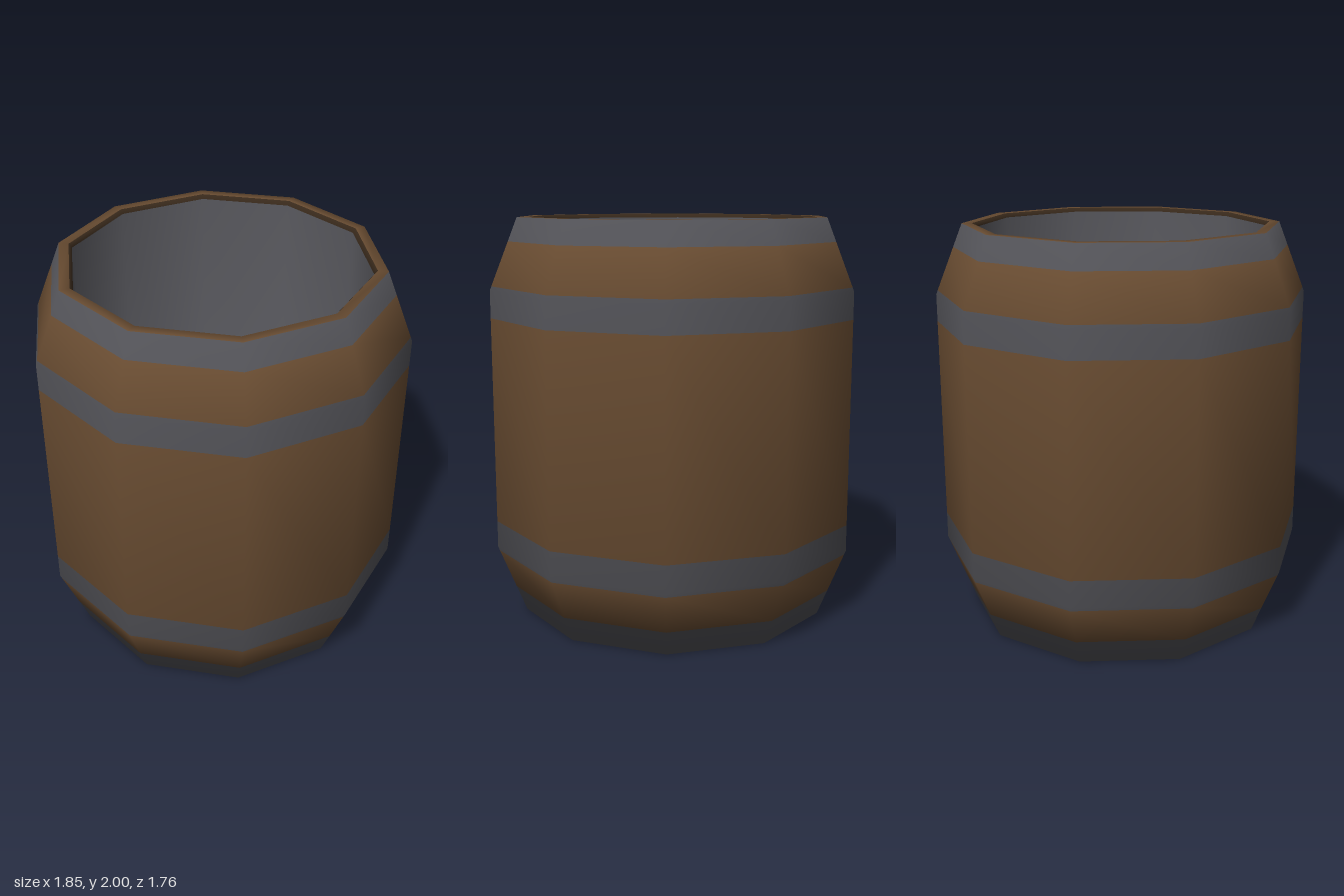
import * as THREE from 'three';

const SIDES = 10;

// Closed barrel profile [radius, height]: base, outer wall, rim, inner wall, floor
const PROFILE = [
  [0, 0], [0.785, 0], [0.925, 0.35], [0.925, 1.65], [0.785, 2],
  [0.735, 2], [0.72, 1.98], [0.72, 0.12], [0, 0.12],
].map(([r, y]) => new THREE.Vector2(r, y));

// Smooth normal at each profile point, averaged from its neighbouring segments
const segmentNormal = (i) => {
  const d = PROFILE[i + 1].clone().sub(PROFILE[i]).normalize();
  return new THREE.Vector2(d.y, -d.x);
};
const last = PROFILE.length - 1;
const NORMALS = PROFILE.map((_, i) => {
  if (i === 0) return segmentNormal(0);
  if (i === last) return segmentNormal(last - 1);
  return segmentNormal(i - 1).add(segmentNormal(i)).normalize();
});

// Point and normal at a fractional profile index
function sample(s) {
  const i = Math.min(Math.floor(s), last - 1);
  const t = s - i;
  return {
    point: PROFILE[i].clone().lerp(PROFILE[i + 1], t),
    normal: NORMALS[i].clone().lerp(NORMALS[i + 1], t).normalize(),
  };
}

// Fractional profile index at a height on the outer wall
function outer(y) {
  let i = 1;
  while (i < 3 && y > PROFILE[i + 1].y) i++;
  return i + (y - PROFILE[i].y) / (PROFILE[i + 1].y - PROFILE[i].y);
}

// Ten-sided ring covering the profile from index s0 to s1
function ring(name, material, s0, s1) {
  const stops = [s0];
  for (let i = Math.floor(s0) + 1; i < s1; i++) stops.push(i);
  stops.push(s1);
  const samples = stops.map(sample);
  const geometry = new THREE.LatheGeometry(samples.map((p) => p.point), SIDES, Math.PI / 2);
  const normals = geometry.attributes.normal;
  for (let v = 0; v < normals.count; v++) {
    const phi = Math.PI / 2 + (Math.floor(v / stops.length) * Math.PI * 2) / SIDES;
    const n = samples[v % stops.length].normal;
    normals.setXYZ(v, n.x * Math.sin(phi), n.y, n.x * Math.cos(phi));
  }
  const mesh = new THREE.Mesh(geometry, material);
  mesh.name = name;
  return mesh;
}

export function createModel() {
  const make = (name, color) => {
    const m = new THREE.MeshStandardMaterial({ color });
    m.name = name;
    return m;
  };
  const wood = make('wood', 0x664a30);
  const darkWood = make('dark wood', 0x38291b);
  const iron = make('iron', 0x505055);

  const barrel = new THREE.Group();
  barrel.name = 'barrel';

  // Outer wall: iron hoops alternating with wooden staves
  const heights = [0, 0.13, 0.33, 0.485, 1.515, 1.67, 1.885, 2];
  for (let i = 0; i < heights.length - 1; i++) {
    const hoop = i % 2 === 0;
    barrel.add(ring(hoop ? 'hoop' : 'staves', hoop ? iron : wood, outer(heights[i]), outer(heights[i + 1])));
  }

  // Base, rim and hollow inside
  barrel.add(
    ring('base', wood, 0, 1),
    ring('rim', wood, 4, 5),
    ring('innerLip', darkWood, 5, 6),
    ring('innerWall', iron, 6, 7),
    ring('floor', wood, 7, 8),
  );
  return barrel;
}
